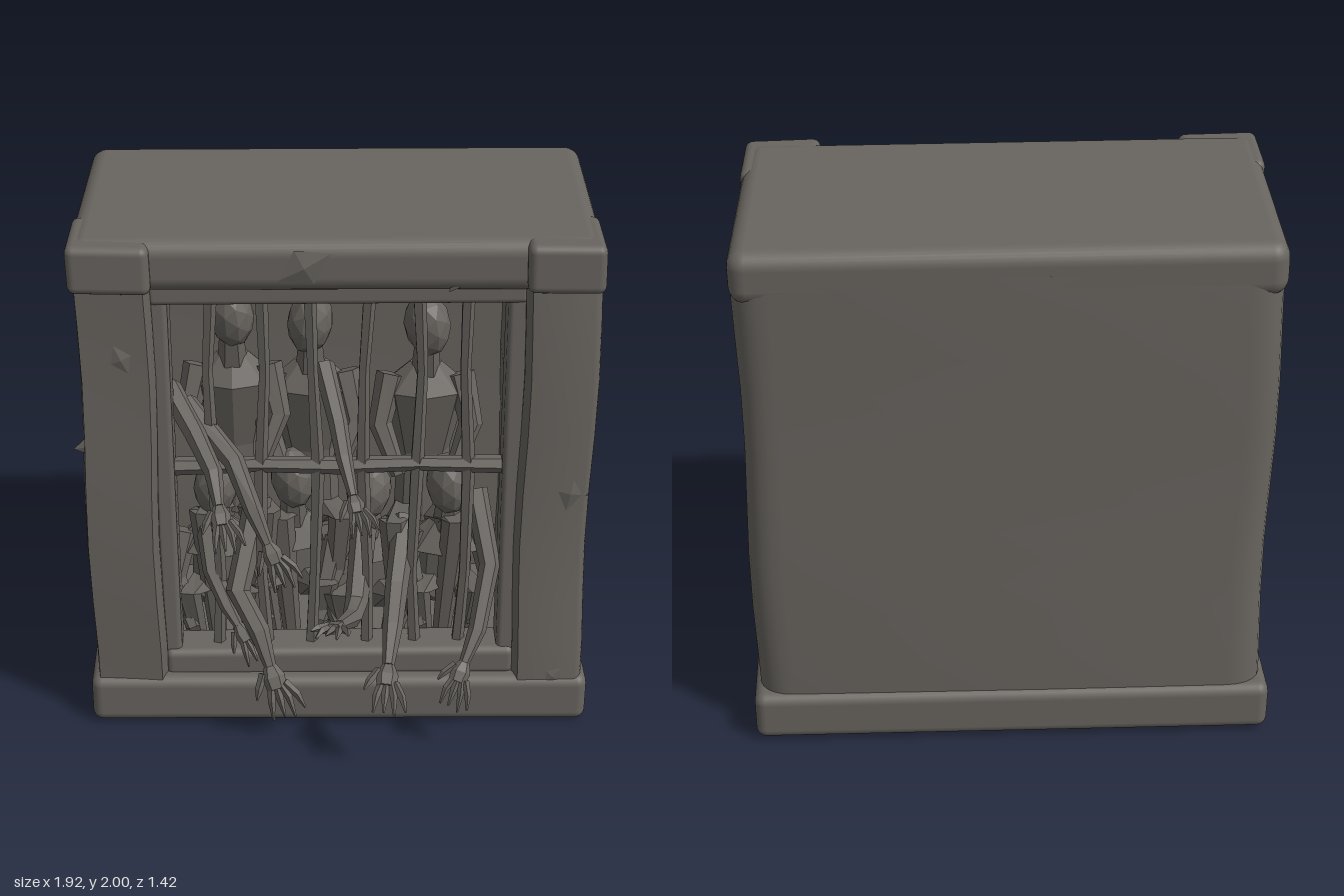
import * as THREE from 'three';
import { toCreasedNormals } from 'three/addons/utils/BufferGeometryUtils.js';
import { RoundedBoxGeometry } from 'three/addons/geometries/RoundedBoxGeometry.js';

const V = (x, y, z) => new THREE.Vector3(x, y, z);

export function createModel() {
  const root = new THREE.Group();
  const stone = new THREE.MeshStandardMaterial({ color: 0x68645f });
  stone.name = 'warm grey stone';

  function add(parent, name, geo) {
    const mesh = new THREE.Mesh(geo, stone);
    mesh.name = name;
    parent.add(mesh);
    return mesh;
  }
  function group(name) {
    const g = new THREE.Group();
    g.name = name;
    root.add(g);
    return g;
  }
  // Faceted copy of a geometry
  function flat(geo) {
    const g = geo.index ? geo.toNonIndexed() : geo;
    g.computeVertexNormals();
    return g;
  }
  // Gently uneven surface, driven by position so that seams stay closed
  function wobble(geo, a) {
    const p = geo.attributes.position;
    for (let i = 0; i < p.count; i++) {
      const x = p.getX(i), y = p.getY(i), z = p.getZ(i);
      p.setXYZ(i, x + a * Math.sin(5 * y + 3 * z), y + a * Math.sin(4 * x + 2 * z), z + a * Math.sin(4 * y + 2 * x));
    }
    return geo;
  }
  // Rounded block given by its extents
  function block(parent, name, x0, x1, y0, y1, z0, z1, r = 0.03, a = 0.006) {
    const g = new RoundedBoxGeometry(x1 - x0, y1 - y0, z1 - z0, 3, r);
    g.translate((x0 + x1) / 2, (y0 + y1) / 2, (z0 + z1) / 2);
    return add(parent, name, wobble(g, a));
  }
  // Faceted tapering limb through rings at the given points
  function loft(points, radii, sides = 6, squash = 1) {
    const pos = [], idx = [], n = points.length;
    points.forEach((p, i) => {
      const t = points[Math.min(i + 1, n - 1)].clone().sub(points[Math.max(i - 1, 0)]).normalize();
      const ref = Math.abs(t.x) > 0.9 ? V(0, 0, 1) : V(1, 0, 0);
      const v = t.clone().cross(ref).normalize();
      const u = v.clone().cross(t);
      for (let k = 0; k < sides; k++) {
        const a = k / sides * Math.PI * 2;
        const q = p.clone().addScaledVector(u, Math.cos(a) * radii[i]).addScaledVector(v, Math.sin(a) * radii[i] * squash);
        pos.push(q.x, q.y, q.z);
      }
    });
    for (let i = 0; i < n - 1; i++) for (let k = 0; k < sides; k++) {
      const a = i * sides + k, b = i * sides + (k + 1) % sides;
      idx.push(a, b, a + sides, b, b + sides, a + sides);
    }
    for (let k = 1; k < sides - 1; k++) {
      const e = (n - 1) * sides;
      idx.push(0, k + 1, k, e, e + k, e + k + 1);
    }
    const g = new THREE.BufferGeometry();
    g.setAttribute('position', new THREE.Float32BufferAttribute(pos, 3));
    g.setIndex(idx);
    return flat(g);
  }

  // Masonry: U-shaped walls swept upwards, rounded at the back corners
  const masonry = group('masonry');
  const plan = new THREE.Shape();
  plan.moveTo(-0.92, -0.26);
  plan.lineTo(-0.68, -0.27);
  plan.lineTo(-0.66, -0.22);
  plan.lineTo(-0.66, 0.56);
  plan.lineTo(0.66, 0.56);
  plan.lineTo(0.66, -0.22);
  plan.lineTo(0.68, -0.27);
  plan.lineTo(0.9, -0.27);
  plan.quadraticCurveTo(0.93, -0.26, 0.93, -0.2);
  plan.lineTo(0.93, 0.58);
  plan.quadraticCurveTo(0.93, 0.7, 0.8, 0.7);
  plan.lineTo(-0.8, 0.7);
  plan.quadraticCurveTo(-0.93, 0.7, -0.93, 0.58);
  plan.lineTo(-0.93, -0.2);
  const walls = new THREE.ExtrudeGeometry(plan, { depth: 1.8, steps: 8, bevelEnabled: false, curveSegments: 6 });
  walls.rotateX(-Math.PI / 2).translate(0, 0.1, 0);
  add(masonry, 'walls', toCreasedNormals(wobble(walls, 0.007), 0.6));
  block(masonry, 'plinth', -0.955, 0.95, 0.005, 0.2, -0.725, 0.285, 0.04);
  block(masonry, 'roof', -0.935, 0.93, 1.8, 1.995, -0.7, 0.265, 0.06);
  block(masonry, 'leftCapital', 0.66, 0.935, 1.81, 1.99, 0, 0.305);
  block(masonry, 'rightCapital', -0.94, -0.65, 1.81, 1.99, 0, 0.3);
  // Chipped stones on the lintel and walls
  const chips = [[-0.12, 1.9, 0.262, 0.09, 0.5], [0.42, 1.85, 0.25, 0.05, 1], [-0.77, 1.55, 0.262, 0.05, 2],
    [0.85, 1.0, 0.262, 0.08, 1.4], [-0.9, 1.2, 0.25, 0.05, 0.2], [0.82, 0.2, 0.27, 0.06, 0.8]];
  for (const [x, y, z, s, r] of chips) {
    const chip = add(masonry, 'chip', flat(new THREE.OctahedronGeometry(s)));
    chip.scale.set(1.2, 0.8, 0.18);
    chip.position.set(x, y, z);
    chip.rotation.z = r;
  }

  // Inner frame of the opening
  const frame = group('windowFrame');
  block(frame, 'frameHead', -0.67, 0.67, 1.74, 1.84, 0.06, 0.22, 0.02);
  block(frame, 'frameSill', -0.67, 0.67, 0.18, 0.3, 0.06, 0.23, 0.03);
  block(frame, 'frameLeft', 0.6, 0.68, 0.2, 1.8, 0.06, 0.21, 0.02);
  block(frame, 'frameRight', -0.68, -0.605, 0.2, 1.8, 0.06, 0.21, 0.02);

  // Bent iron bars
  const bars = group('bars');
  [-0.46, -0.28, -0.09, 0.1, 0.29, 0.47].forEach((x, i) => {
    const path = [0.25, 0.6, 1.05, 1.45, 1.78].map((y, j) => V(x + 0.014 * Math.sin(i * 2.3 + j * 1.7), y, 0.15));
    add(bars, 'bar', loft(path, [0.026, 0.022, 0.027, 0.021, 0.026], 5));
  });
  add(bars, 'crossbar', loft([-0.64, -0.3, 0, 0.3, 0.64].map((x, i) => V(x, 1.06 + 0.008 * (i % 2), 0.15)),
    [0.035, 0.03, 0.034, 0.029, 0.035], 6));

  // Prisoners crowding the cell
  function prisoner(x, y, z, turn, h) {
    const g = group('prisoner');
    const head = add(g, 'head', flat(new THREE.IcosahedronGeometry(0.1, 1)));
    head.scale.set(0.85, 1.3, 1);
    head.position.set(x, y, z);
    head.rotation.set(0.15, turn, turn * 0.25);
    add(g, 'neck', loft([V(x, y - 0.2, z - 0.03), V(x, y - 0.08, z)], [0.055, 0.045]));
    add(g, 'torso', loft([V(x, y - h, z - 0.1), V(x, y - h * 0.65, z - 0.08), V(x, y - 0.27, z - 0.05), V(x, y - 0.17, z - 0.04)],
      [0.11, 0.1, 0.165, 0.06], 8, 0.65));
    for (const s of [-1, 1]) {
      add(g, 'upperArm', loft([V(x + s * 0.13, y - 0.22, z - 0.04), V(x + s * 0.17, y - 0.4, z + 0.02), V(x + s * 0.1, y - 0.58, z + 0.09)],
        [0.055, 0.045, 0.03]));
      add(g, 'leg', loft([V(x + s * 0.06, y - h, z - 0.08), V(x + s * 0.12, Math.max(y - h + 0.08, 0.45), z + 0.1),
        V(x + s * 0.08, 0.19, z + 0.02)], [0.075, 0.055, 0.035]));
    }
  }
  prisoner(-0.39, 1.58, -0.06, 0.3, 0.85);
  prisoner(-0.1, 1.53, -0.1, -0.3, 0.85);
  prisoner(0.33, 1.54, -0.05, 0.4, 0.85);
  prisoner(-0.46, 0.9, 0, -0.3, 0.5);
  prisoner(-0.17, 0.9, -0.05, 0.3, 0.5);
  prisoner(0.12, 0.86, -0.02, -0.4, 0.5);
  prisoner(0.42, 0.9, 0, 0.2, 0.5);

  // Arms reaching through the bars; the last segment sets the direction of the hand
  function reachingArm(pts, side, size = 1) {
    const g = group('reachingArm');
    const p = pts.map(q => V(...q)), n = p.length, wrist = p[n - 1];
    add(g, 'arm', loft(p, p.map((_, i) => size * (i === n - 1 ? 0.022 : 0.05 - 0.006 * i)), 6));
    const d = wrist.clone().sub(p[n - 2]).normalize();
    const s = V(...side).addScaledVector(d, -V(...side).dot(d)).normalize();
    const down = V(0, -0.25, 0);
    const at = (f, w) => wrist.clone().addScaledVector(d, f * size).addScaledVector(s, w * size);
    add(g, 'palm', loft([wrist, at(0.04, 0), at(0.085, 0)], [0.024 * size, 0.042 * size, 0.036 * size], 6, 0.6));
    for (let k = 0; k < 5; k++) {
      const w = k - 2, thumb = k === 0;
      const a = at(thumb ? 0.02 : 0.07, w * 0.016);
      const b = at(thumb ? 0.07 : 0.125, w * 0.032);
      const c = at(thumb ? 0.1 : 0.19 - 0.01 * Math.abs(w - 0.5), w * 0.04).addScaledVector(down, 0.06 * (k % 2 + 0.5));
      add(g, 'finger', loft([a, b, c], [0.016 * size, 0.014 * size, 0.004], 4));
    }
  }
  const X = [1, 0, 0];
  reachingArm([[-0.62, 1.32, 0.02], [-0.52, 1.22, 0.2], [-0.45, 1.14, 0.35], [-0.43, 1.06, 0.45]], X, 0.9);
  reachingArm([[-0.56, 1.27, 0.05], [-0.38, 1.14, 0.26], [-0.31, 0.97, 0.33], [-0.26, 0.86, 0.38]], X, 0.9);
  reachingArm([[-0.05, 1.4, 0], [0, 1.25, 0.18], [0.02, 1.17, 0.3], [0.05, 1.08, 0.42]], X, 0.8);
  reachingArm([[-0.3, 0.85, 0], [-0.38, 0.55, 0.2], [-0.3, 0.42, 0.28], [-0.26, 0.3, 0.34]], X, 1.05);
  reachingArm([[0.1, 0.7, 0], [0.07, 0.5, 0.2], [0.05, 0.5, 0.32], [0, 0.57, 0.48]], X);
  reachingArm([[0.26, 0.75, 0], [0.22, 0.58, 0.22], [0.2, 0.5, 0.38], [0.18, 0.42, 0.52]], X);
  reachingArm([[0.52, 0.9, 0.05], [0.57, 0.66, 0.2], [0.52, 0.45, 0.33], [0.47, 0.35, 0.4]], X, 0.9);
  reachingArm([[-0.5, 0.75, 0.05], [-0.48, 0.6, 0.13], [-0.42, 0.48, 0.2], [-0.38, 0.42, 0.24]], X, 0.8);

  return root;
}
